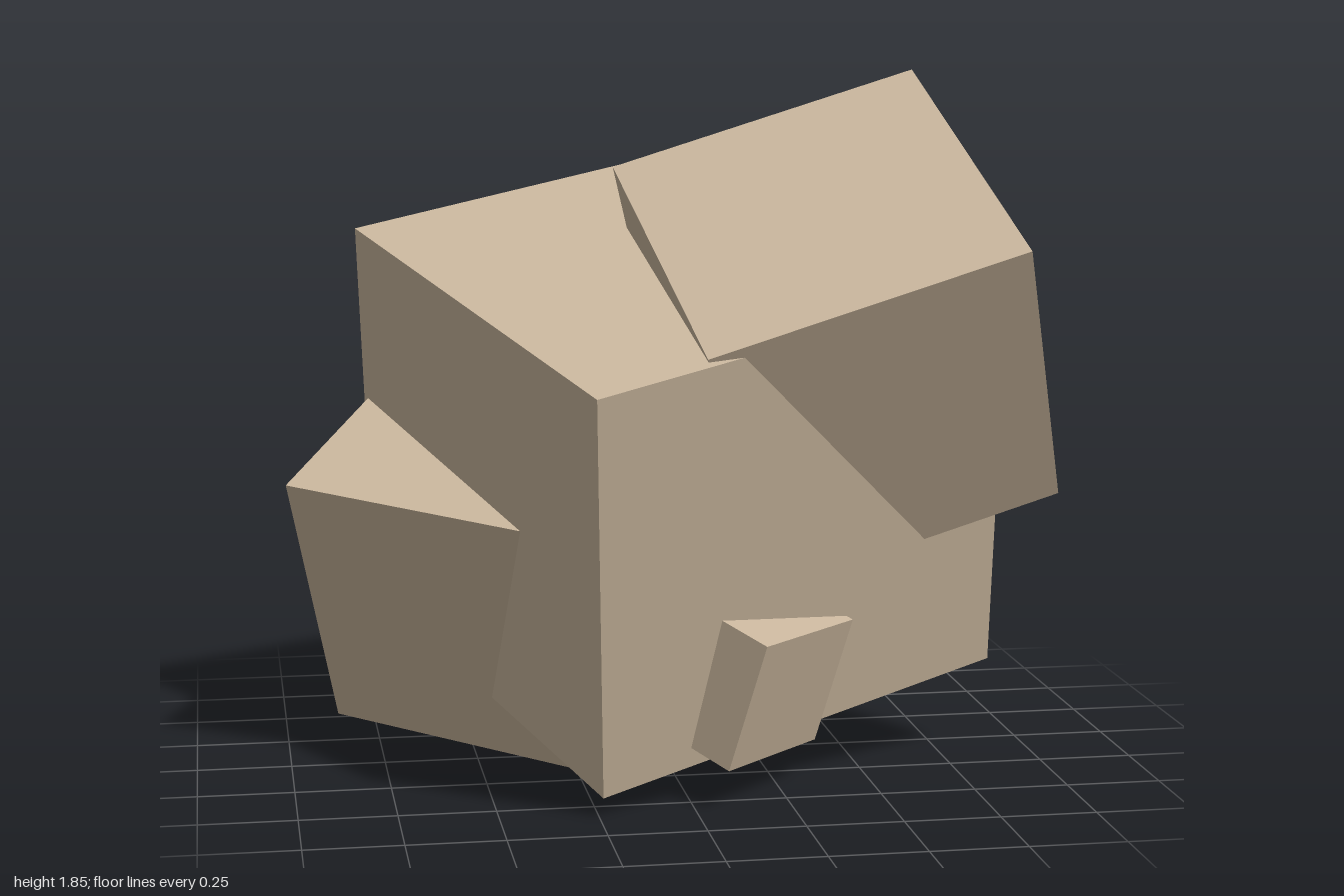
import * as THREE from 'three';

const stone = new THREE.MeshStandardMaterial({ color: 0xc8b59c });
stone.name = 'tan stone';

// A tilted block, given one corner, two perpendicular edges and its depth.
// The depth runs from the corner along a x b (negative: the other way).
function block(name, corner, a, b, depth) {
  const ea = new THREE.Vector3(...a);
  const eb = new THREE.Vector3(...b);
  const ux = ea.clone().normalize();
  const uz = new THREE.Vector3().crossVectors(ea, eb).normalize();
  const uy = new THREE.Vector3().crossVectors(uz, ux);
  const mesh = new THREE.Mesh(new THREE.BoxGeometry(ea.length(), eb.length(), Math.abs(depth)), stone);
  mesh.name = name;
  mesh.quaternion.setFromRotationMatrix(new THREE.Matrix4().makeBasis(ux, uy, uz));
  mesh.position.set(...corner)
    .addScaledVector(ea, 0.5)
    .addScaledVector(eb, 0.5)
    .addScaledVector(uz, depth / 2);
  return mesh;
}

export function createModel() {
  const group = new THREE.Group();
  group.name = 'rockCluster';
  group.add(
    // large central block
    block('mainBlock', [-0.8, 1.433, -0.142], [1.12, 0.209, -0.46], [0.5, -0.316, 1.079], 1.119),
    // cube resting on the upper front corner
    block('upperBlock', [0.66, 1.853, 0.086], [-0.799, -0.249, -0.002], [0.128, -0.417, 0.712], -0.837),
    // block at the lower side
    block('sideBlock', [-0.861, 0.072, -0.272], [0.636, -0.069, 0.448], [0.46, 0.355, -0.602], 0.779),
    // small stone set into the front face
    block('smallBlock', [0.16, 0.449, 0.686], [0.2785, 0, -0.265], [-0.08, -0.339, -0.084], 0.38),
  );
  return group;
}
